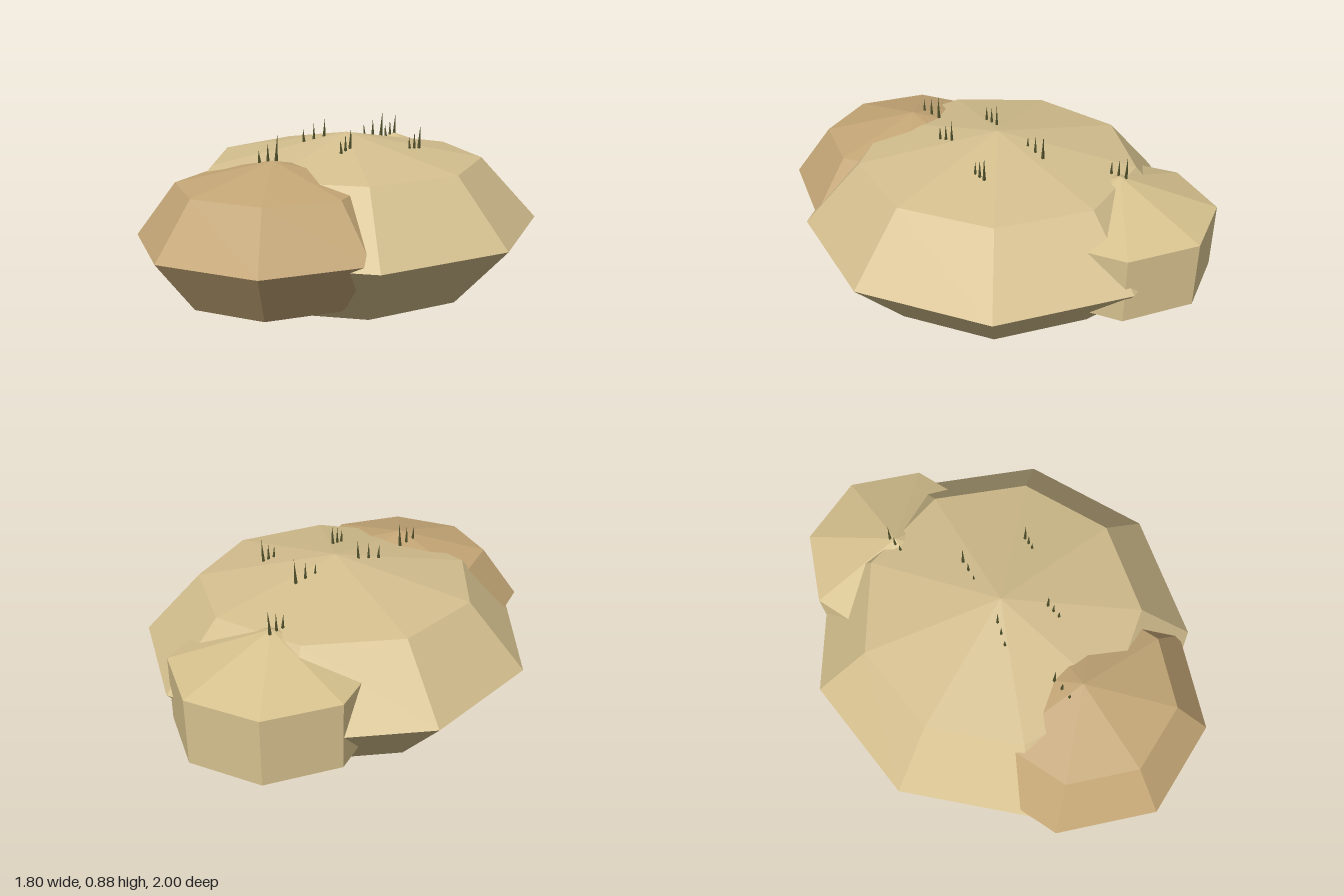
import * as THREE from 'three';

const mat = (color) => new THREE.MeshStandardMaterial({ color, flatShading: true });

// Faceted squashed sphere with a corner on +x
function boulder(name, color, [x, y, z], radius, halfHeight, sides, rows) {
  const geo = new THREE.SphereGeometry(radius, sides, rows);
  geo.rotateY(Math.PI);
  geo.scale(1, halfHeight / radius, 1);
  const mesh = new THREE.Mesh(geo, mat(color));
  mesh.name = name;
  mesh.position.set(x, y, z);
  return mesh;
}

export function createModel() {
  const group = new THREE.Group();
  group.name = 'sandMound';

  // Overlapping mounds
  group.add(
    boulder('mainMound', 0xd4bf8e, [0, 0.41, -0.02], 0.9, 0.405, 9, 4),
    boulder('frontMound', 0xc4a676, [-0.3, 0.43, 0.4], 0.6, 0.33, 8, 4),
    boulder('backMound', 0xd6c18e, [0.24, 0.42, -0.56], 0.508, 0.3, 8, 3)
  );

  // Grass tufts: centre x, base y, centre z, then the step between blades in x and z
  const tufts = [
    [0.125, 0.77, -0.19, 0.04, -0.033],
    [-0.15, 0.78, 0.012, 0.045, -0.025],
    [0.003, 0.765, 0.217, 0.018, -0.028],
    [0.316, 0.75, 0.05, 0.022, -0.02],
    [-0.332, 0.74, 0.313, 0.032, -0.038],
    [0.217, 0.71, -0.556, 0.023, -0.03],
  ];
  const heights = [0.07, 0.09, 0.12];
  const grass = mat(0x55552f);
  tufts.forEach(([x, y, z, dx, dz]) => {
    const tuft = new THREE.Group();
    tuft.name = 'grassTuft';
    tuft.position.set(x, y, z);
    heights.forEach((h, i) => {
      const geo = new THREE.ConeGeometry(0.008, h, 4);
      geo.translate(0, h / 2 - 0.01, 0);
      const blade = new THREE.Mesh(geo, grass);
      blade.name = 'grassBlade';
      blade.position.set((i - 1) * dx, 0, (i - 1) * dz);
      blade.rotation.z = -0.06 * (i - 1);
      tuft.add(blade);
    });
    group.add(tuft);
  });
  return group;
}
